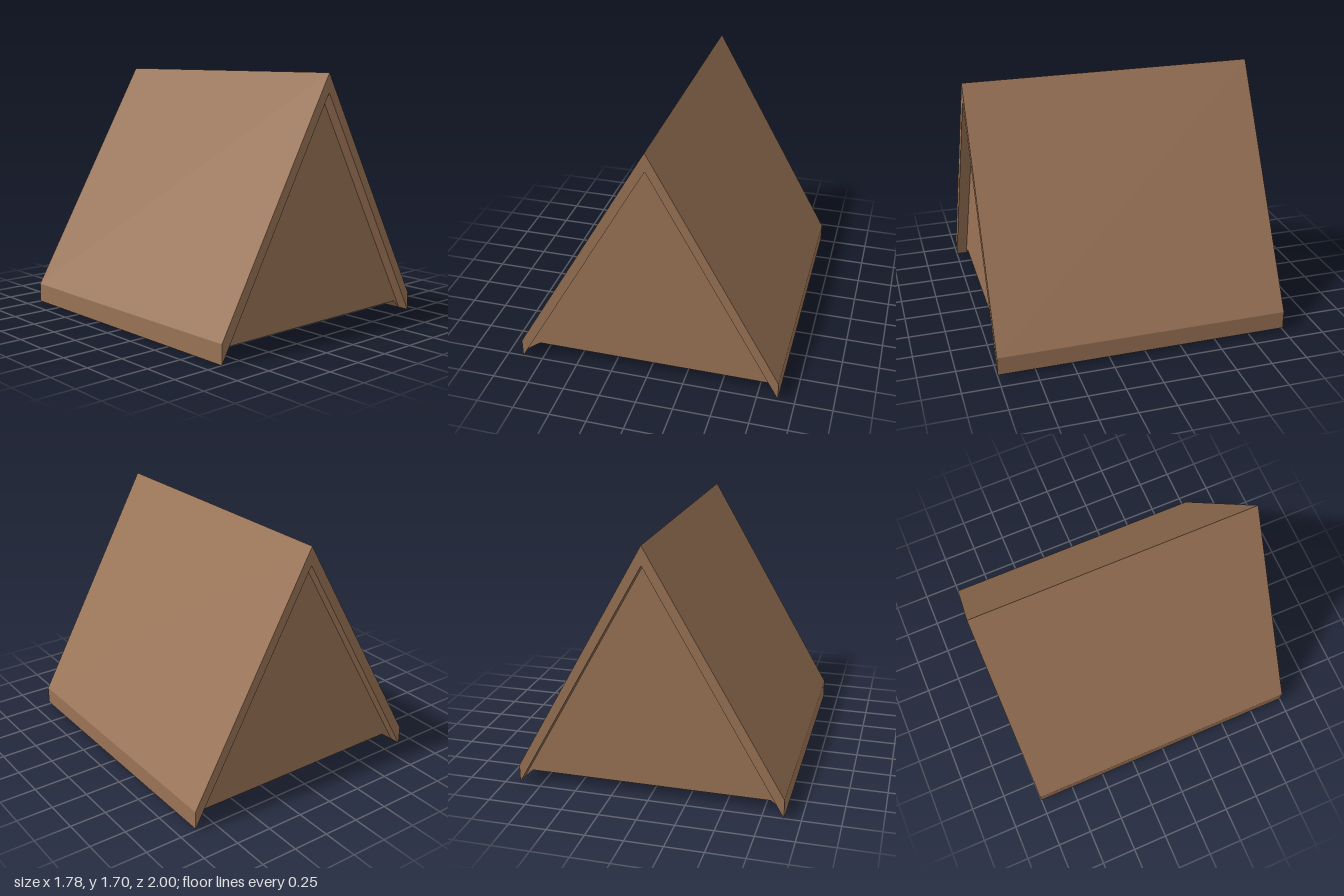
import * as THREE from 'three';

// Extrude an x-y outline along z, centred on z = 0
function prism(points, depth) {
  const shape = new THREE.Shape(points.map(([x, y]) => new THREE.Vector2(x, y)));
  const geometry = new THREE.ExtrudeGeometry(shape, { depth, bevelEnabled: false });
  return geometry.translate(0, 0, -depth / 2);
}

export function createModel() {
  const wood = new THREE.MeshStandardMaterial({ color: 0x9a7356 });
  wood.name = 'brownWood';

  const model = new THREE.Group();
  model.name = 'gableRoof';
  const add = (name, points, depth) => {
    const mesh = new THREE.Mesh(prism(points, depth), wood);
    mesh.name = name;
    model.add(mesh);
  };

  const ridge = [0.02, 1.7];
  const innerRidge = [0.02, 1.575];
  const rightEave = [-0.89, 0];
  const leftEave = [0.89, 0.015];

  // One chevron covering: sloping slabs with upright eave edges
  add('roofCovering', [
    rightEave, innerRidge, leftEave,
    [0.89, 0.14], ridge, [-0.89, 0.13],
  ], 2);

  // Solid gable body, set back from both roof ends, with sloping soffits
  add('gableBody', [
    rightEave, [-0.79, 0.073], [0.83, 0.073], leftEave, innerRidge,
  ], 1.85);

  return model;
}
